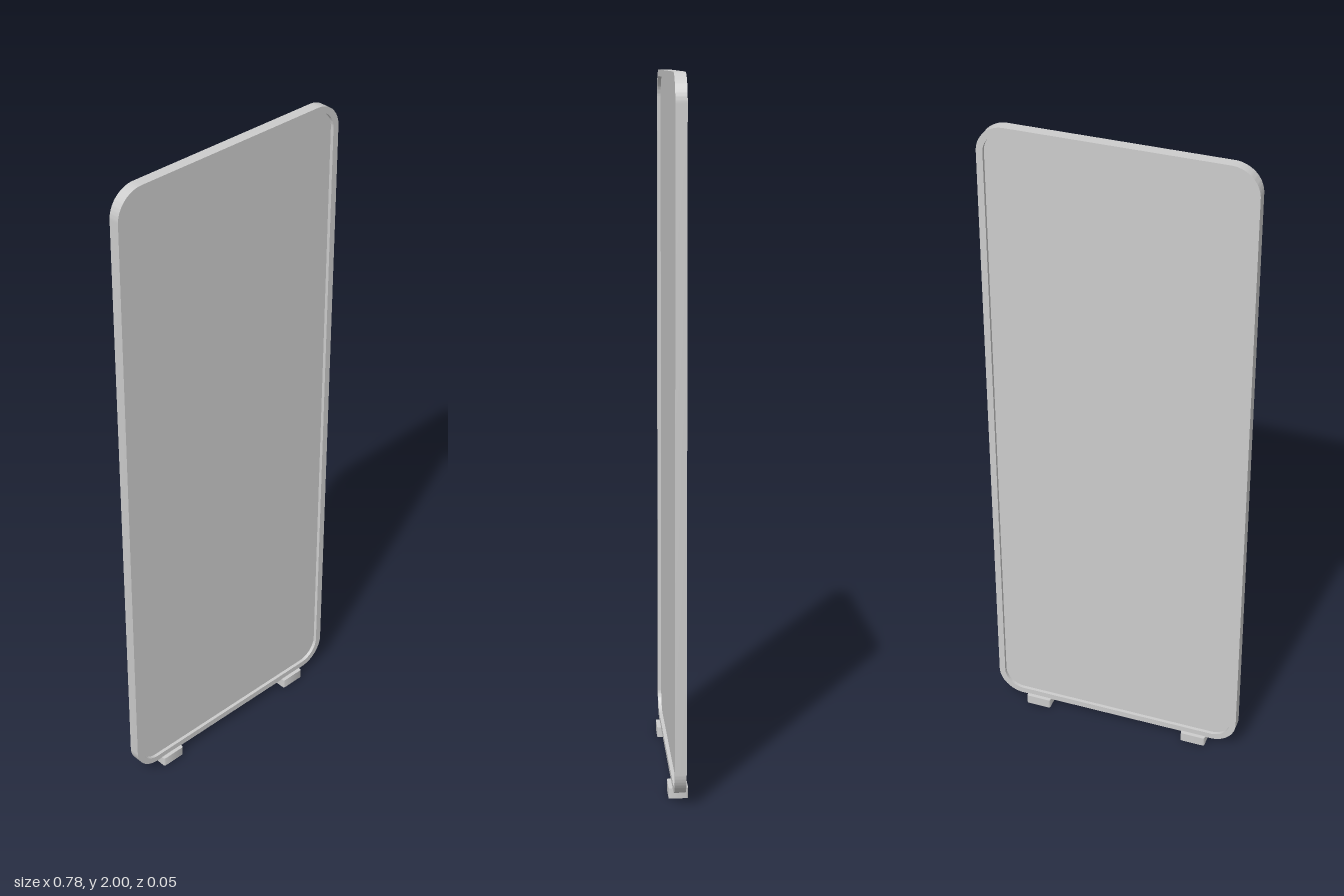
import * as THREE from 'three';
import { toCreasedNormals } from 'three/addons/utils/BufferGeometryUtils.js';

// Rounded rectangle centred on (0, cy)
function roundedRect(w, h, r, cy, Type = THREE.Shape) {
  const s = new Type(), x = w / 2, b = cy - h / 2, t = cy + h / 2;
  s.moveTo(x - r, b);
  s.absarc(x - r, b + r, r, -Math.PI / 2, 0);
  s.absarc(x - r, t - r, r, 0, Math.PI / 2);
  s.absarc(-x + r, t - r, r, Math.PI / 2, Math.PI);
  s.absarc(-x + r, b + r, r, Math.PI, Math.PI * 1.5);
  s.closePath();
  return s;
}

// Extrusion centred on z = 0
function slab(shape, depth) {
  const g = new THREE.ExtrudeGeometry(shape, { depth, bevelEnabled: false, curveSegments: 12 });
  g.translate(0, 0, -depth / 2);
  return toCreasedNormals(g, 0.6);
}

export function createModel() {
  const model = new THREE.Group();
  model.name = 'framedPanel';
  const grey = new THREE.MeshStandardMaterial({ color: 0xcccccc });
  grey.name = 'lightGrey';
  const add = (name, geometry) => {
    const m = new THREE.Mesh(geometry, grey);
    m.name = name;
    model.add(m);
    return m;
  };

  // Rounded frame around the opening
  const cy = 1.014;
  const frameShape = roundedRect(0.777, 1.972, 0.08, cy);
  frameShape.holes.push(roundedRect(0.739, 1.934, 0.061, cy, THREE.Path));
  add('frame', slab(frameShape, 0.032));

  // Thin panel recessed on both sides
  add('panel', slab(roundedRect(0.741, 1.936, 0.062, cy), 0.012));

  // Two feet with softened upright corners
  for (const side of [-1, 1]) {
    const g = slab(roundedRect(0.077, 0.055, 0.005, 0), 0.03);
    g.rotateX(-Math.PI / 2);
    const foot = add(side > 0 ? 'leftFoot' : 'rightFoot', g);
    foot.position.set(side * 0.255, 0.015, 0);
  }
  return model;
}
